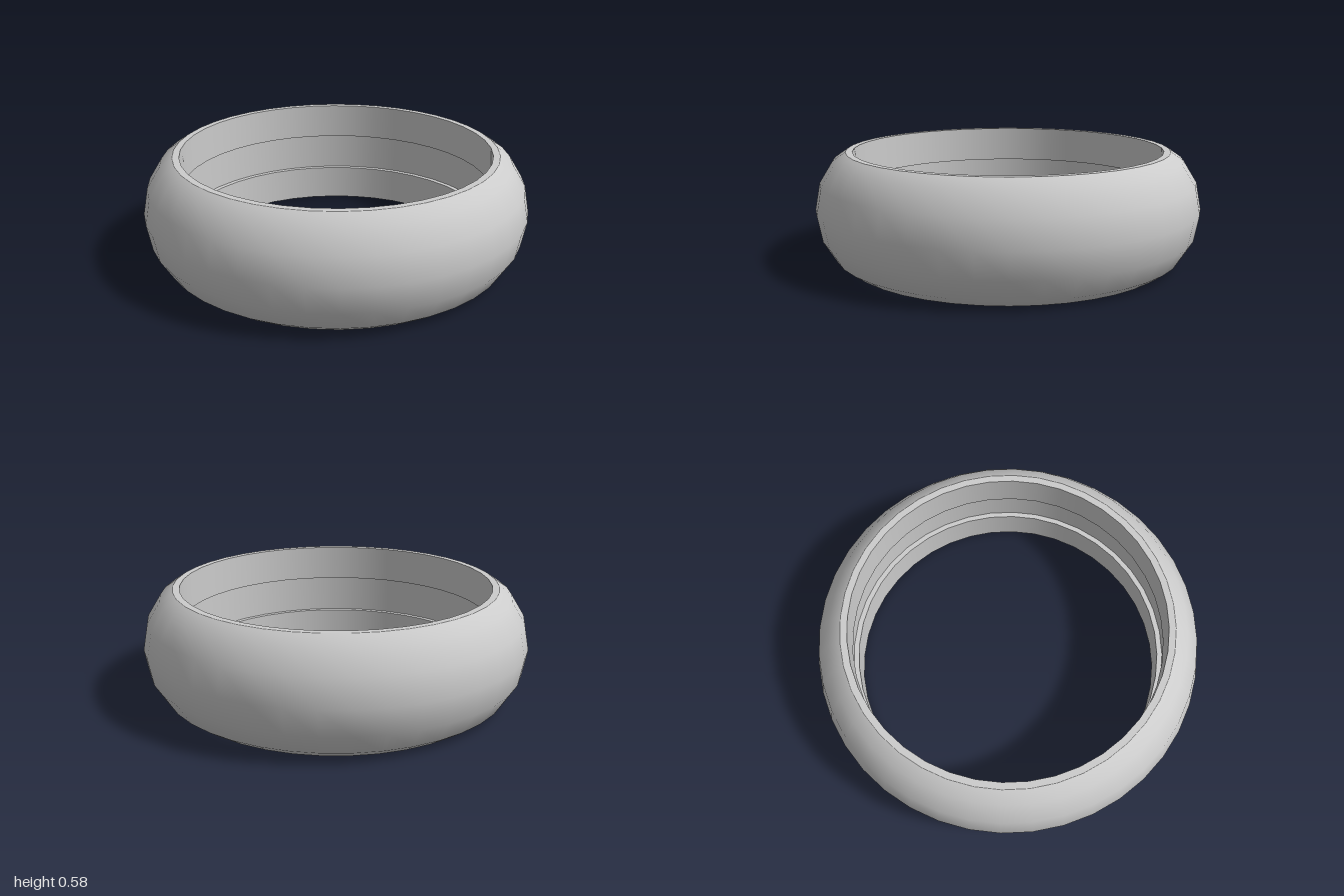
import * as THREE from 'three';

const SIDES = 40;
const HEIGHT = 0.585;
const OUTER_FLAT = 0.84; // outer radius of the flat rims
const INNER = 0.805; // bore radius
const GROOVE = 0.832; // radius of the recessed middle band
const LOW = 0.19, HIGH = HEIGHT - LOW; // groove edges

export function createModel() {
  const group = new THREE.Group();
  group.name = 'ring';
  const material = new THREE.MeshStandardMaterial({ color: 0xcccccc });

  // Each band is its own lathe, so the edges between bands stay sharp
  const addBand = (name, ...profile) => {
    const points = profile.map(([r, y]) => new THREE.Vector2(r, y));
    const mesh = new THREE.Mesh(new THREE.LatheGeometry(points, SIDES), material);
    mesh.name = name;
    group.add(mesh);
  };

  // Rounded outside, from bottom to top
  addBand('outerSurface',
    [OUTER_FLAT, 0], [0.906, 0.045], [0.974, 0.155], [1, HEIGHT / 2],
    [0.974, HEIGHT - 0.155], [0.906, HEIGHT - 0.045], [OUTER_FLAT, HEIGHT]);

  // Flat rims
  addBand('topRim', [OUTER_FLAT, HEIGHT], [INNER, HEIGHT]);
  addBand('bottomRim', [INNER, 0], [OUTER_FLAT, 0]);

  // Bore with a shallow wide groove, from top to bottom
  addBand('upperInnerBand', [INNER, HEIGHT], [INNER, HIGH]);
  addBand('upperGrooveLedge', [INNER, HIGH], [GROOVE, HIGH]);
  addBand('grooveFloor', [GROOVE, HIGH], [GROOVE, LOW]);
  addBand('lowerGrooveLedge', [GROOVE, LOW], [INNER, LOW]);
  addBand('lowerInnerBand', [INNER, LOW], [INNER, 0]);

  return group;
}
